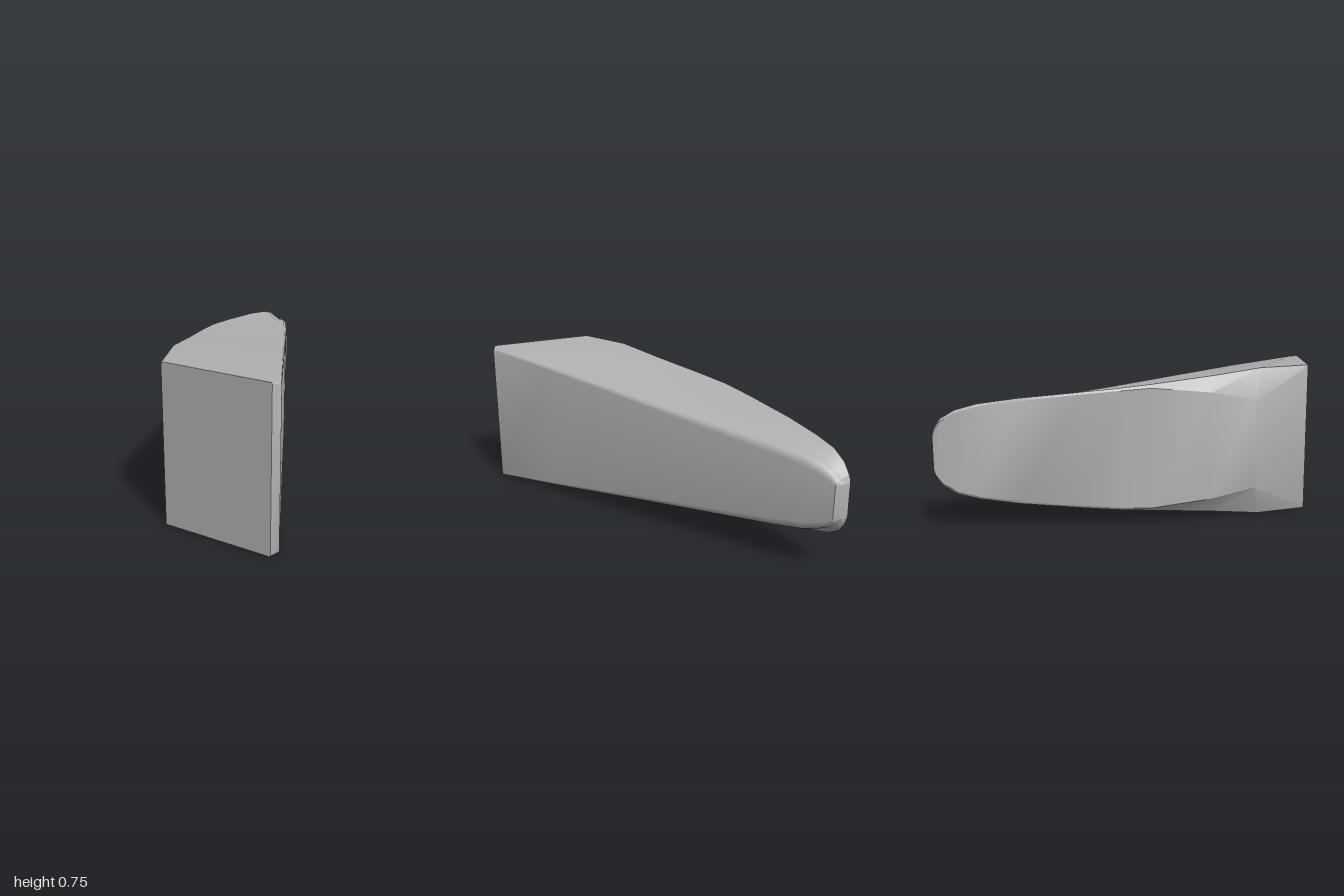
import * as THREE from 'three';
import { toCreasedNormals } from 'three/addons/utils/BufferGeometryUtils.js';

const MID = 0.375; // the body is mirrored above and below this height

// Cross-sections from the broad front to the rounded tip:
// long-side edge x, z, half height, fillet | back edge x, z, half height | rim x, z, half height
const SECTIONS = [
  [-0.11, 1.0, 0.375, 0.006, -0.49, 0.62, 0.37, -0.488, 0.622, 0.375],
  [-0.068, 0.985, 0.37, 0.012, -0.489, 0.615, 0.365, -0.485, 0.615, 0.375],
  [0.042, 0.6, 0.335, 0.02, -0.44, 0.29, 0.22, -0.40, 0.36, 0.372],
  [0.128, 0.3, 0.302, 0.025, -0.33, 0.09, 0.265, -0.30, 0.13, 0.342],
  [0.215, 0.0, 0.268, 0.03, -0.185, -0.17, 0.294, -0.175, -0.15, 0.312],
  [0.287, -0.25, 0.242, 0.035, -0.106, -0.30, 0.285, -0.098, -0.30, 0.297],
  [0.344, -0.45, 0.222, 0.04, 0.0, -0.45, 0.27, 0.008, -0.45, 0.281],
  [0.404, -0.66, 0.201, 0.045, 0.18, -0.68, 0.243, 0.187, -0.68, 0.255],
  [0.444, -0.80, 0.183, 0.05, 0.30, -0.83, 0.218, 0.307, -0.828, 0.23],
  [0.464, -0.87, 0.158, 0.045, 0.36, -0.915, 0.19, 0.367, -0.912, 0.203],
  [0.477, -0.915, 0.13, 0.035, 0.405, -0.97, 0.15, 0.411, -0.965, 0.163],
  [0.486, -0.945, 0.10, 0.025, 0.424, -0.995, 0.105, 0.43, -0.99, 0.118],
  [0.475, -0.968, 0.08, 0.01, 0.432, -1.0, 0.08, 0.438, -0.997, 0.085],
];

// Closed ring: up the long side, over the fillet and top, down the back, then mirrored
function makeRing([lx, lz, lh, f, bx, bz, bh, rx, rz, rh]) {
  const dir = new THREE.Vector2(rx - lx, rz - lz).normalize();
  const upper = [];
  const steps = 5;
  for (let i = 0; i <= steps; i++) {
    const a = (i / steps) * Math.PI / 2;
    const inset = f * (1 - Math.cos(a));
    const h = lh - f * (1 - Math.sin(a));
    upper.push([lx + dir.x * inset, h, lz + dir.y * inset]);
  }
  upper.push([rx, rh, rz], [bx, bh, bz]);
  const lower = upper.map(([x, h, z]) => [x, -h, z]).reverse();
  return [...upper, ...lower].map(([x, h, z]) => new THREE.Vector3(x, MID + h, z));
}

function makeBody() {
  const rings = SECTIONS.map(makeRing);
  const positions = [];
  const tri = (...points) => points.forEach((p) => positions.push(p.x, p.y, p.z));
  const n = rings[0].length;

  // Skin between neighbouring rings
  for (let s = 0; s < rings.length - 1; s++) {
    const a = rings[s], b = rings[s + 1];
    for (let i = 0; i < n; i++) {
      const j = (i + 1) % n;
      tri(a[i], b[i], b[j]);
      tri(a[i], b[j], a[j]);
    }
  }

  // Flat front face and small tip face
  const cap = (ring, flip) => {
    const c = new THREE.Vector3();
    ring.forEach((p) => c.addScaledVector(p, 1 / n));
    for (let i = 0; i < n; i++) {
      const j = (i + 1) % n;
      if (flip) tri(c, ring[j], ring[i]);
      else tri(c, ring[i], ring[j]);
    }
  };
  cap(rings[0], false);
  cap(rings[rings.length - 1], true);

  const geometry = new THREE.BufferGeometry();
  geometry.setAttribute('position', new THREE.Float32BufferAttribute(positions, 3));
  return toCreasedNormals(geometry, 0.45);
}

export function createModel() {
  const group = new THREE.Group();
  group.name = 'taperedWedge';
  const grey = new THREE.MeshStandardMaterial({ color: 0xb0b0b0 });
  grey.name = 'grey';
  const body = new THREE.Mesh(makeBody(), grey);
  body.name = 'body';
  group.add(body);
  return group;
}
